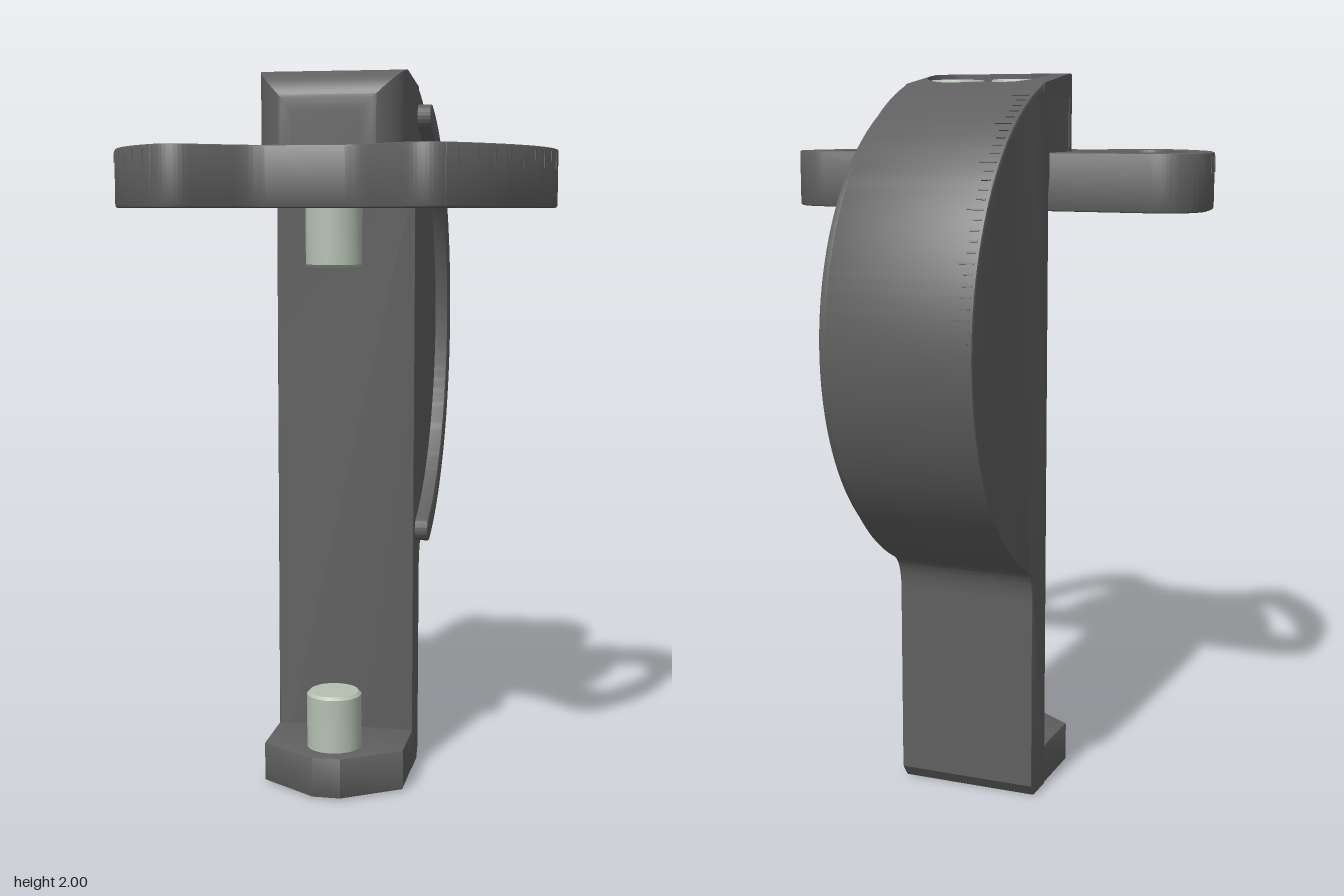
import * as THREE from 'three';
import { toCreasedNormals } from 'three/addons/utils/BufferGeometryUtils.js';

const dark = new THREE.MeshStandardMaterial({ color: 0x606060 });
const steel = new THREE.MeshStandardMaterial({ color: 0xb4c0b2 });
const ARC = { z: 0.1, y: 1.3, r: 0.7 }; // curved back of the body

function add(parent, name, geo, mat = dark) {
  const mesh = new THREE.Mesh(toCreasedNormals(geo, 0.5), mat);
  mesh.name = name;
  parent.add(mesh);
  return mesh;
}

// Plan shape drawn in (x, z), filling the heights from y0 to y1
function planExtrude(shape, y0, y1, bevel = 0) {
  const geo = new THREE.ExtrudeGeometry(shape, {
    depth: y1 - y0 - 2 * bevel, curveSegments: 24, bevelEnabled: bevel > 0,
    bevelSize: bevel, bevelThickness: bevel, bevelOffset: -bevel, bevelSegments: 2,
  });
  return geo.rotateX(Math.PI / 2).translate(0, y1 - bevel, 0);
}

// Side shape drawn in (z, y), filling x0 to x1
function sideExtrude(shape, x0, x1, bevel) {
  const geo = new THREE.ExtrudeGeometry(shape, {
    depth: x1 - x0 - 2 * bevel, curveSegments: 64,
    bevelSize: bevel, bevelThickness: bevel, bevelOffset: -bevel, bevelSegments: 2,
  });
  return geo.rotateY(-Math.PI / 2).translate(x1 - bevel, 0, 0);
}

// Curved slot with round ends, as a closed path
function arcSlot(path, cx, cy, r, half, a0, a1) {
  const end = (a) => [cx + r * Math.cos(a), cy + r * Math.sin(a)];
  path.absarc(cx, cy, r + half, a0, a1, false);
  path.absarc(...end(a1), half, a1, a1 + Math.PI, false);
  path.absarc(cx, cy, r - half, a1, a0, true);
  path.absarc(...end(a0), half, a0 + Math.PI, a0 + 2 * Math.PI, false);
  return path;
}

function bodyShape() {
  const s = new THREE.Shape();
  s.moveTo(-0.06, 0);
  s.lineTo(-0.06, 1.7);
  s.lineTo(0.1, 1.7);
  s.lineTo(0.1, 1.95);
  s.lineTo(-0.1, 1.95);
  s.absarc(ARC.z, ARC.y, ARC.r, Math.PI - Math.acos(0.2 / 0.7), Math.PI + Math.acos(0.31 / 0.7), false);
  s.quadraticCurveTo(-0.17, 0.645, -0.17, 0.57);
  s.lineTo(-0.17, 0.035);
  s.lineTo(-0.145, 0);
  return s;
}

// Wing centre and radii shared by the plate edge and its slots
const WING = { x: -0.132, z: 0.05, r: 0.591 };

function plateShape() {
  const half = new THREE.Path();
  half.moveTo(0, -0.06);
  half.lineTo(0.48, -0.06);
  half.absarc(0.48, 0.06, 0.12, -Math.PI / 2, 0, false);
  half.absarc(WING.x, WING.z, 0.732, 0.05, 0.82, false);
  half.absarc(0.315, 0.53, 0.075, 0.82, 2.25, false);
  half.lineTo(0.18, 0.517);
  half.quadraticCurveTo(0.14, 0.48, 0.1, 0.48);
  const right = half.getPoints(20);
  const left = right.slice(1).reverse().map((p) => new THREE.Vector2(-p.x, p.y));
  const s = new THREE.Shape([...right, ...left]);
  const slot = arcSlot(new THREE.Path(), WING.x, WING.z, WING.r, 0.066, 0.085, 0.687).getPoints(20);
  s.holes.push(new THREE.Path(slot));
  s.holes.push(new THREE.Path(slot.map((p) => new THREE.Vector2(-p.x, p.y))));
  return s;
}

// Rounded front end of the head: box narrowed and lowered along a quarter circle
function noseGeometry() {
  const geo = new THREE.BoxGeometry(1, 1, 1, 1, 1, 16);
  const p = geo.attributes.position;
  for (let i = 0; i < p.count; i++) {
    const a = (p.getZ(i) + 0.5) * Math.PI / 2;
    const w = 0.09 + 0.11 * Math.cos(a);
    const top = 1.89 + 0.11 * Math.cos(a);
    p.setXYZ(i, Math.sign(p.getX(i)) * w, p.getY(i) > 0 ? top : 1.68, 0.1 + 0.11 * Math.sin(a));
  }
  return geo;
}

// Rim around the screw pocket, its top following the curved back
function rimGeometry() {
  const s = new THREE.Shape();
  s.moveTo(-0.2, -0.1);
  s.lineTo(0.2, -0.1);
  s.lineTo(0.2, 0.1);
  s.lineTo(-0.2, 0.1);
  const hole = new THREE.Path();
  hole.absarc(0.083, 0.002, 0.09, -Math.PI / 2, Math.PI / 2, false);
  hole.absarc(-0.083, 0.002, 0.09, Math.PI / 2, Math.PI * 1.5, false);
  s.holes.push(hole);
  const geo = planExtrude(s, 1.935, 1.98);
  const p = geo.attributes.position;
  for (let i = 0; i < p.count; i++) {
    if (p.getY(i) > 1.96) p.setY(i, ARC.y + Math.sqrt(ARC.r ** 2 - (p.getZ(i) - ARC.z) ** 2));
  }
  return geo;
}

// Round screw head with a six-sided socket
function screwHeadGeometry() {
  const s = new THREE.Shape();
  s.absarc(0, 0, 0.075, 0, Math.PI * 2, false);
  const hex = [];
  for (let i = 0; i < 6; i++) {
    const a = i * Math.PI / 3 + Math.PI / 6;
    hex.push(new THREE.Vector2(0.036 * Math.cos(a), 0.036 * Math.sin(a)));
  }
  s.holes.push(new THREE.Path(hex));
  return planExtrude(s, 1.945, 1.982, 0.006);
}

function pinGeometry(y0, y1) {
  const b = 0.008;
  const pts = [[0, y0], [0.077 - b, y0], [0.077, y0 + b], [0.077, y1 - b], [0.077 - b, y1], [0, y1]];
  return new THREE.LatheGeometry(pts.map((q) => new THREE.Vector2(...q)), 32).translate(0, 0, 0.108);
}

export function createModel() {
  const model = new THREE.Group();
  model.name = 'alignmentBracket';

  // Upright body and head
  add(model, 'body', sideExtrude(bodyShape(), -0.2, 0.2, 0.007));
  add(model, 'headFront', noseGeometry());
  add(model, 'pocketRim', rimGeometry());

  // Raised curved rail on the left side
  const rail = arcSlot(new THREE.Shape(), ARC.z, ARC.y, 0.625, 0.035, 1.92, 2 * Math.PI - 1.92);
  add(model, 'sideRail', sideExtrude(rail, 0.19, 0.237, 0.004));

  // Slotted wing plate
  add(model, 'wingPlate', planExtrude(plateShape(), 1.635, 1.79, 0.006));

  // Tapered foot
  const foot = new THREE.Shape([
    [-0.2, -0.08], [0.2, -0.08], [0.2, 0.12], [0.04, 0.226], [-0.04, 0.226], [-0.2, 0.12],
  ].map((q) => new THREE.Vector2(...q)));
  add(model, 'foot', planExtrude(foot, 0.004, 0.12, 0.006));

  // Pins and screws
  add(model, 'lowerPin', pinGeometry(0.002, 0.28), steel);
  add(model, 'upperPin', pinGeometry(1.475, 1.66), steel);
  for (const side of [-1, 1]) {
    add(model, 'screwHead', screwHeadGeometry(), steel).position.x = side * 0.09;
    add(model, 'socketFloor', new THREE.CylinderGeometry(0.04, 0.04, 0.01, 6).translate(0, 1.95, 0), steel)
      .position.x = side * 0.09;
  }

  // Scale marks on both wing edges
  for (const side of [-1, 1]) {
    for (let i = 0; i < 9; i++) {
      const a = 0.09 + i * 0.085;
      const h = i % 2 ? 0.025 : 0.045;
      const mark = add(model, 'wingMark', new THREE.BoxGeometry(0.006, h, 0.005));
      mark.position.set(side * (WING.x + 0.731 * Math.cos(a)), 1.78 - h / 2, WING.z + 0.731 * Math.sin(a));
      mark.rotation.y = -side * a;
    }
  }

  // Scale marks along the right edge of the curved back
  for (let i = 0; i < 30; i++) {
    const a = 2.0 + i * 0.04;
    const w = i % 5 ? 0.025 : 0.045;
    const mark = add(model, 'backMark', new THREE.BoxGeometry(w, 0.004, 0.005));
    mark.position.set(-0.19 + w / 2, ARC.y + ARC.r * Math.sin(a), ARC.z + ARC.r * Math.cos(a));
    mark.rotation.x = -a;
  }
  return model;
}
